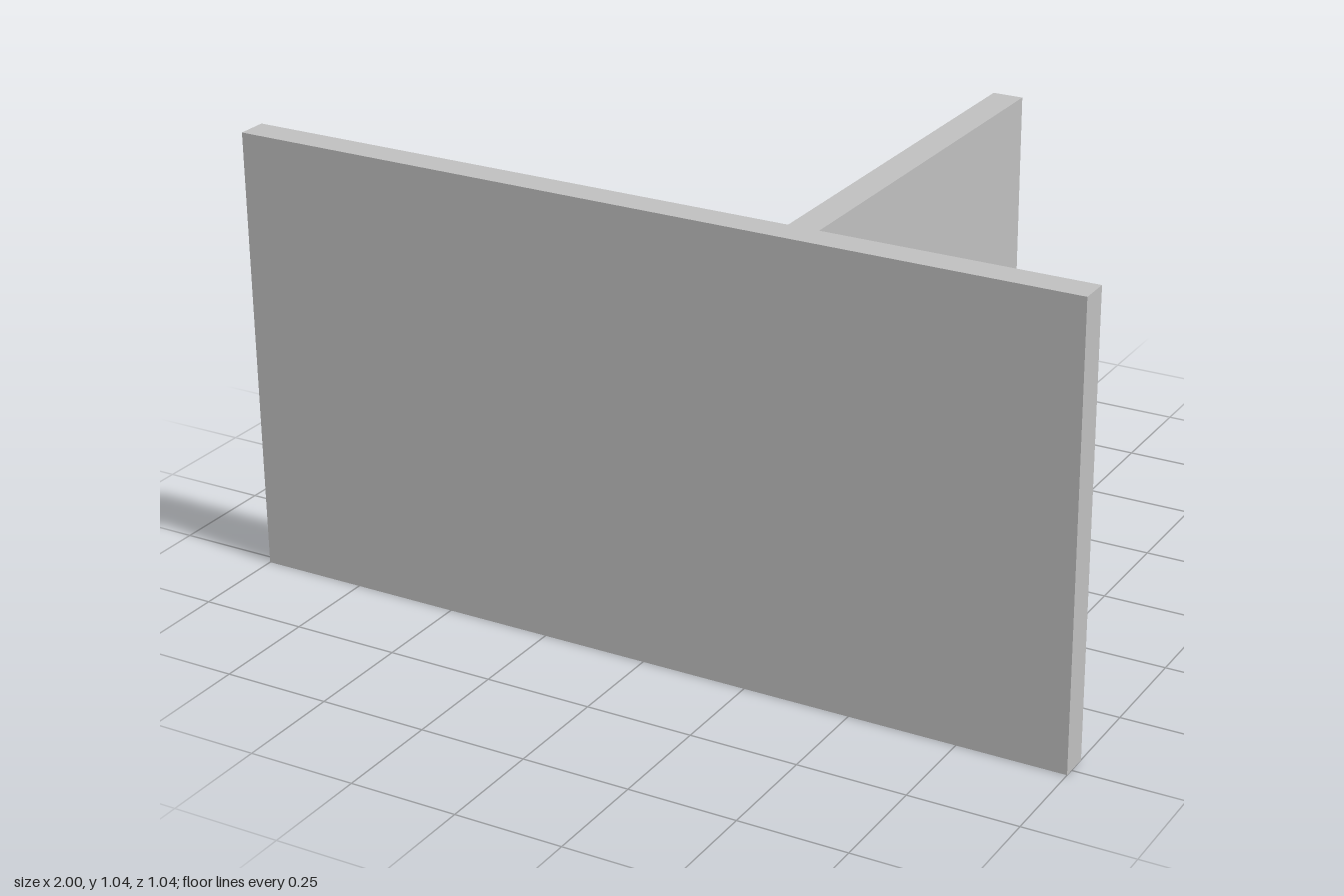
import * as THREE from 'three';

export function createModel() {
  const group = new THREE.Group();
  const grey = new THREE.MeshStandardMaterial({ color: 0xbfbfbf });
  grey.name = 'grey';

  const height = 1.043;
  const front = 0.522, inner = 0.452, back = -0.522; // z of the plate faces and web end
  const webLeft = 0.386, webRight = 0.315; // x of the web faces

  // T-shaped plan of the wide plate and its off-centre web, as x and z
  const plan = [
    [-1, front], [1, front], [1, inner], [webLeft, inner],
    [webLeft, back], [webRight, back], [webRight, inner], [-1, inner],
  ];
  const shape = new THREE.Shape(plan.map(([x, z]) => new THREE.Vector2(x, -z)));

  // Raise the plan to full height
  const geometry = new THREE.ExtrudeGeometry(shape, { depth: height, bevelEnabled: false });
  geometry.rotateX(-Math.PI / 2);

  const walls = new THREE.Mesh(geometry, grey);
  walls.name = 'teeWalls';
  group.add(walls);
  return group;
}
